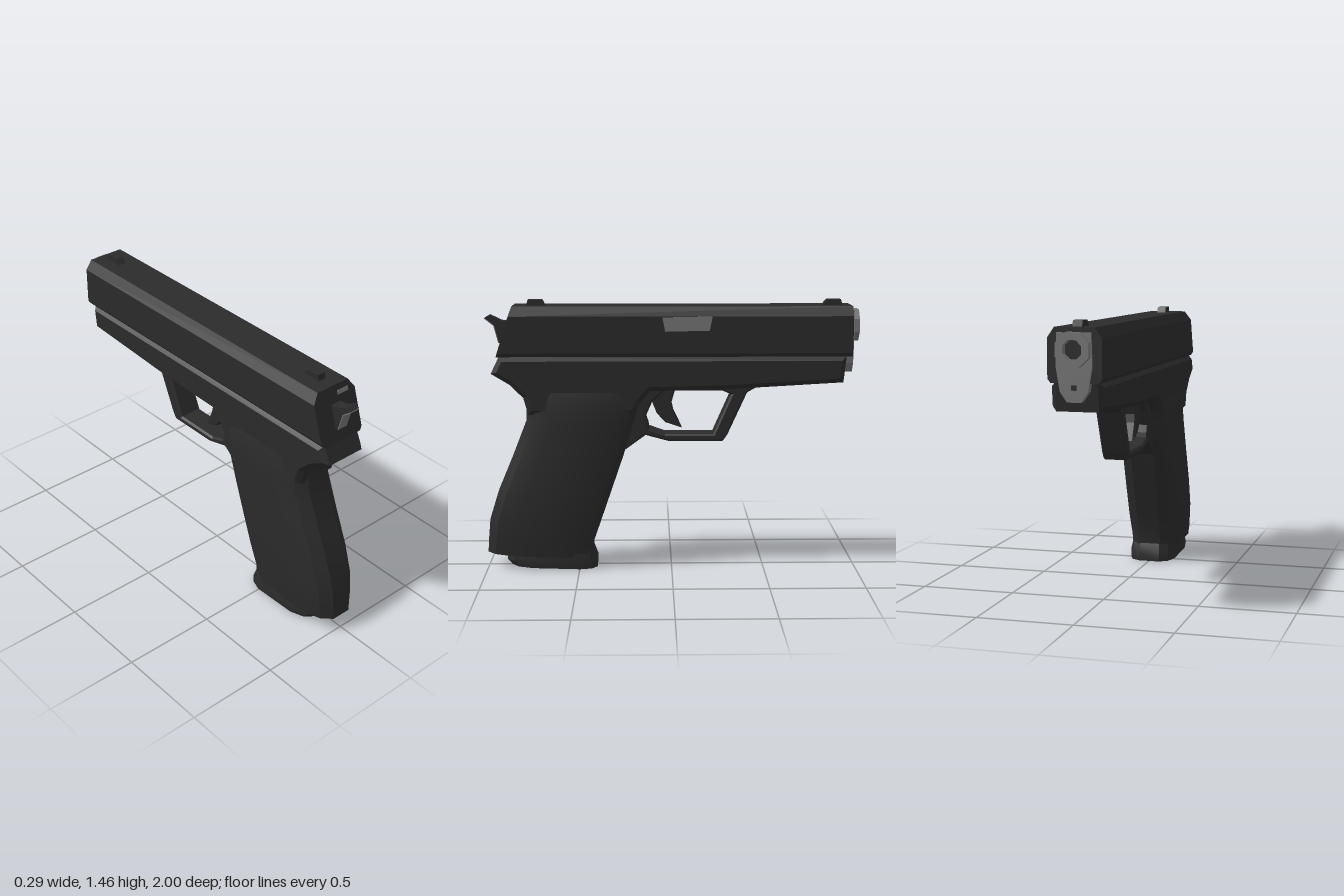
import * as THREE from 'three';
import { toCreasedNormals } from 'three/addons/utils/BufferGeometryUtils.js';

const black = new THREE.MeshStandardMaterial({ color: 0x2b2b2b });
black.name = 'gunmetal black';
const steel = new THREE.MeshStandardMaterial({ color: 0x767676 });
steel.name = 'bare steel';

const toShape = (pts) => new THREE.Shape(pts.map(([a, b]) => new THREE.Vector2(a, b)));
const ring = (r, y, n = 8) => Array.from({ length: n }, (_, i) => {
  const a = ((i + 0.5) / n) * Math.PI * 2;
  return new THREE.Vector2(Math.cos(a) * r, y + Math.sin(a) * r);
});

// Side profile of [z, y] points, given a half width in x and a chamfer
function slab(pts, half, bevel = 0, hole = null) {
  const shape = toShape(pts);
  if (hole) shape.holes.push(toShape(hole));
  const depth = 2 * (half - bevel);
  const geo = new THREE.ExtrudeGeometry(shape, {
    depth, bevelEnabled: bevel > 0, bevelThickness: bevel, bevelSize: bevel,
    bevelOffset: -bevel, bevelSegments: 1,
  });
  return geo.translate(0, 0, -depth / 2).rotateY(-Math.PI / 2);
}

// Half outline of the grip seen from above: [across, back to front]
const half = [[0.42, 0], [0.8, 0.08], [1, 0.25], [1, 0.8], [0.82, 0.94], [0.45, 1]];
const outline = [...half, ...half.slice().reverse().map(([u, v]) => [-u, v])];

// Loft through rows of [y, zFront, zBack, halfWidth, tilt of the front edge]
function loft(rows) {
  const n = outline.length, pos = [], idx = [];
  for (const [y, zf, zb, w, tilt = 0] of rows) {
    for (const [u, v] of outline) pos.push(u * w, y + v * tilt, zb + (zf - zb) * v);
  }
  for (let i = 0; i < rows.length - 1; i++) {
    for (let j = 0; j < n; j++) {
      const a = i * n + j, b = i * n + ((j + 1) % n);
      idx.push(a, b, a + n, b, b + n, a + n);
    }
  }
  const top = (rows.length - 1) * n;
  for (let j = 1; j < n - 1; j++) idx.push(0, j + 1, j, top, top + j, top + j + 1);
  const geo = new THREE.BufferGeometry();
  geo.setAttribute('position', new THREE.Float32BufferAttribute(pos, 3));
  geo.setIndex(idx);
  return toCreasedNormals(geo, 0.5);
}

export function createModel() {
  const model = new THREE.Group();
  model.name = 'pistol';
  const add = (name, geo, mat = black) => {
    const m = new THREE.Mesh(geo, mat);
    m.name = name;
    model.add(m);
    return m;
  };

  // Slide: chamfered section run along z, with a sloping rear face
  const rearZ = (y) => 0.93 - (y - 1.16) * 0.32;
  const slideHalf = [[0.12, 1.16], [0.135, 1.18], [0.135, 1.375], [0.1, 1.425]];
  const slideOutline = [...slideHalf, ...slideHalf.slice().reverse().map(([x, y]) => [-x, y])];
  const slide = new THREE.ExtrudeGeometry(toShape(slideOutline), { depth: 1, bevelEnabled: false });
  const p = slide.attributes.position;
  for (let i = 0; i < p.count; i++) p.setZ(i, p.getZ(i) > 0.5 ? rearZ(p.getY(i)) : -0.96);
  slide.computeVertexNormals();
  add('slide', slide);

  // Sights
  add('rearSight', slab([[0.775, 1.42], [0.765, 1.455], [0.69, 1.455], [0.67, 1.42]], 0.024));
  add('frontSight', slab([[-0.8, 1.42], [-0.83, 1.455], [-0.905, 1.455], [-0.915, 1.42]], 0.024));

  // Ejection port on the left side
  add('ejectionPort', slab([[0.05, 1.37], [0.035, 1.295], [-0.2, 1.3], [-0.215, 1.375]], 0.002)
    .translate(0.1355, 0, 0), steel);

  // Steel muzzle plate, bushing and recoil rod end
  const plate = toShape([[-0.085, 1.4], [-0.09, 1.24], [-0.07, 1.12], [-0.035, 1.07],
    [0.035, 1.07], [0.07, 1.12], [0.09, 1.24], [0.085, 1.4]]);
  plate.holes.push(new THREE.Path(ring(0.05, 1.32)));
  add('muzzlePlate', new THREE.ExtrudeGeometry(plate, { depth: 0.045, bevelEnabled: false })
    .translate(0, 0, -0.97), steel);
  const bushing = new THREE.Shape(ring(0.09, 1.32));
  bushing.holes.push(new THREE.Path(ring(0.05, 1.32)));
  add('barrelBushing', new THREE.ExtrudeGeometry(bushing, { depth: 0.04, bevelEnabled: false })
    .translate(0, 0, -1), steel);
  add('recoilRod', new THREE.BoxGeometry(0.025, 0.025, 0.006)).position.set(0, 1.14, -0.971);

  // Hammer with a worn steel striking face, and a worn edge on the slide
  add('hammer', slab([[0.86, 1.34], [0.9, 1.215], [0.92, 1.225], [0.945, 1.32], [0.995, 1.36],
    [0.97, 1.375], [0.91, 1.345]], 0.03));
  add('hammerFace', slab([[0.92, 1.225], [0.945, 1.32], [0.995, 1.36], [0.998, 1.356],
    [0.949, 1.317], [0.925, 1.225]], 0.028), steel);
  add('slideRearEdge', slab([[rearZ(1.395) - 0.002, 1.395], [rearZ(1.375) - 0.002, 1.375],
    [rearZ(1.375) + 0.003, 1.375], [rearZ(1.395) + 0.003, 1.395]], 0.035)
    .translate(0.055, 0, 0), steel);

  // Frame with rear tang
  add('frame', slab([[0.915, 1.162], [0.96, 1.07], [0.86, 1.01], [0.79, 0.94], [0.765, 0.85],
    [0.2, 0.85], [0.17, 0.91], [0.115, 0.975], [-0.3, 0.985], [-0.475, 0.995],
    [-0.915, 1.02], [-0.93, 1.162]], 0.132, 0.025));

  // Trigger guard and trigger
  add('triggerGuard', slab([[0.25, 0.65], [0.14, 0.73], [0.01, 0.695], [-0.275, 0.695],
    [-0.3, 0.73], [-0.405, 0.96], [-0.475, 1], [-0.45, 1.03], [0.16, 1.03], [0.25, 0.9]],
  0.068, 0.01,
  [[0.125, 0.79], [0.14, 0.83], [0.105, 0.91], [0.035, 0.972], [-0.27, 0.972],
    [-0.32, 0.95], [-0.225, 0.735], [0.035, 0.735], [0.12, 0.765]]));
  add('trigger', slab([[0.11, 0.92], [0.07, 0.99], [-0.025, 0.99], [0, 0.905], [-0.01, 0.86],
    [-0.055, 0.765], [0.035, 0.795], [0.08, 0.845]], 0.035, 0.008));

  // Grip and magazine base
  add('grip', loft([
    [0.085, 0.425, 1, 0.128, -0.03], [0.14, 0.425, 0.997, 0.136], [0.27, 0.38, 0.985, 0.145],
    [0.43, 0.325, 0.935, 0.147], [0.62, 0.26, 0.855, 0.147], [0.81, 0.2, 0.78, 0.147],
    [0.93, 0.165, 0.775, 0.143], [1.03, 0.2, 0.82, 0.115],
  ]));
  add('magazineBase', loft([
    [0.015, 0.405, 0.87, 0.13, -0.015], [0.045, 0.405, 0.895, 0.133], [0.1, 0.425, 0.89, 0.122],
  ]));

  return model;
}
